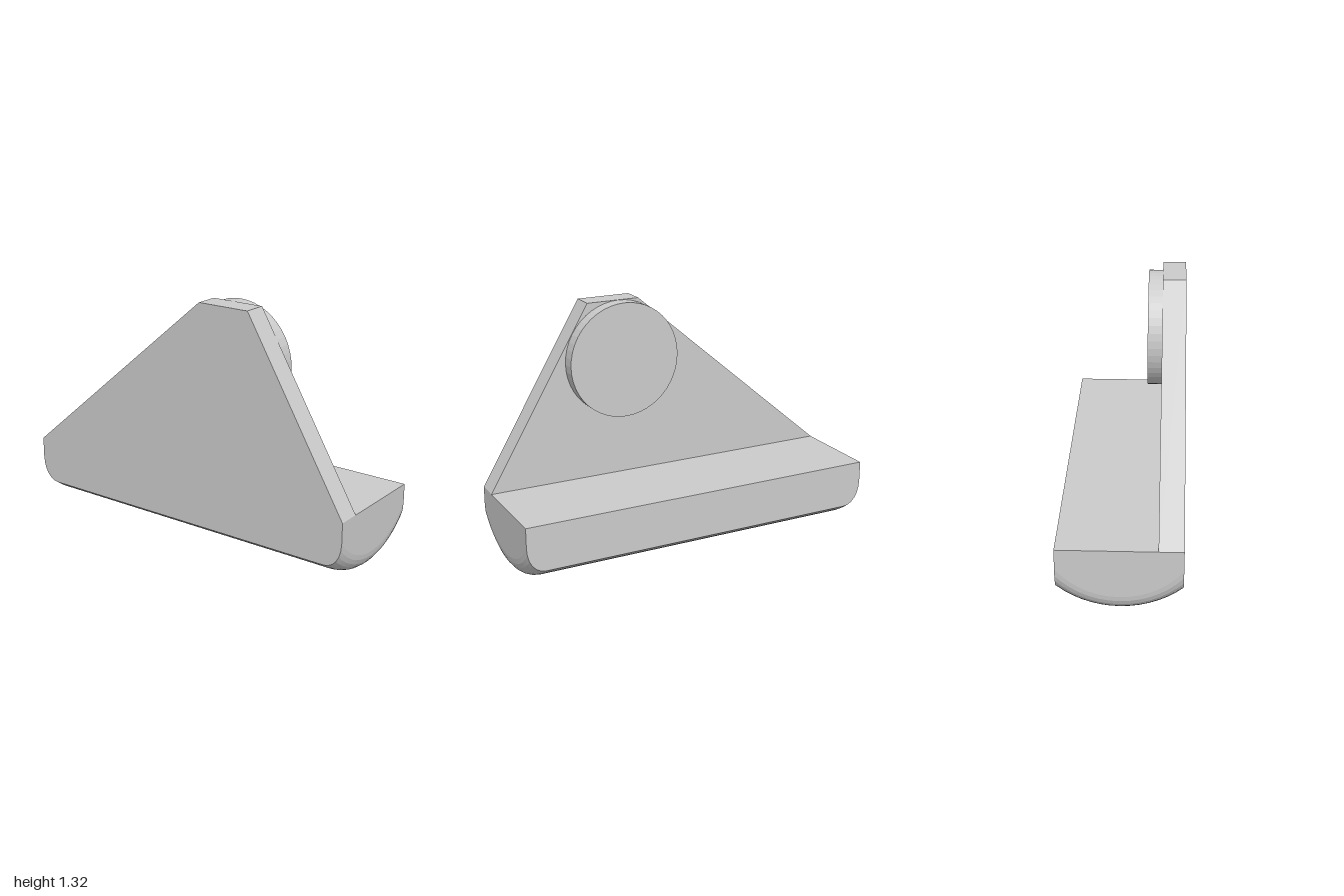
import * as THREE from 'three';

const HALF_W = 0.312, TOP = 0.36, RADIUS = 0.495, FILLET = 0.1;

// Base: lofted sections with a round belly, rounded over at both ends
function baseGeometry() {
  const arcSteps = 14, filletSteps = 6;
  const sections = [];
  for (let i = 0; i <= filletSteps; i++) {
    const a = (i / filletSteps) * Math.PI / 2;
    sections.push({ z: 1 - FILLET + FILLET * Math.cos(a), r: RADIUS - FILLET + FILLET * Math.sin(a) });
  }
  const all = [...sections.map(s => ({ z: -s.z, r: s.r })), ...sections.reverse()];
  const n = arcSteps + 3;
  const pos = [], index = [];
  for (const { z, r } of all) {
    const half = Math.asin(HALF_W / r);
    pos.push(-HALF_W, TOP, z);
    for (let i = 0; i <= arcSteps; i++) {
      const a = -half + (2 * half * i) / arcSteps;
      pos.push(r * Math.sin(a), RADIUS - r * Math.cos(a), z);
    }
    pos.push(HALF_W, TOP, z);
  }
  for (let s = 0; s < all.length - 1; s++) {
    for (let i = 0; i < n; i++) {
      const j = (i + 1) % n;
      const a = s * n + i, b = s * n + j, c = b + n, d = a + n;
      index.push(a, b, c, a, c, d);
    }
  }
  const last = (all.length - 1) * n;
  for (let i = 1; i < n - 1; i++) {
    index.push(0, i + 1, i, last, last + i, last + i + 1);
  }
  const g = new THREE.BufferGeometry();
  g.setAttribute('position', new THREE.Float32BufferAttribute(pos, 3));
  g.setIndex(index);
  const flat = g.toNonIndexed();
  flat.computeVertexNormals();
  return flat;
}

export function createModel() {
  const group = new THREE.Group();
  const material = new THREE.MeshStandardMaterial({ color: 0xcccccc, flatShading: true });
  const add = (name, geometry) => {
    const mesh = new THREE.Mesh(geometry, material);
    mesh.name = name;
    group.add(mesh);
    return mesh;
  };

  add('base', baseGeometry());

  // Upright plate: side outline drawn in (-z, y), extruded across x
  const outline = new THREE.Shape([[-1, TOP], [1, TOP], [-0.135, 1.323], [-0.43, 1.323]]
    .map(([u, v]) => new THREE.Vector2(u, v)));
  const plate = new THREE.ExtrudeGeometry(outline, { depth: 0.124, bevelEnabled: false });
  plate.rotateY(Math.PI / 2).translate(-HALF_W, 0, 0);
  add('uprightPlate', plate);

  // Round boss on the inner face of the plate
  const boss = new THREE.CylinderGeometry(0.311, 0.311, 0.075, 48);
  boss.rotateZ(Math.PI / 2);
  add('roundBoss', boss).position.set(-0.1505, 1.011, 0.25);

  return group;
}
